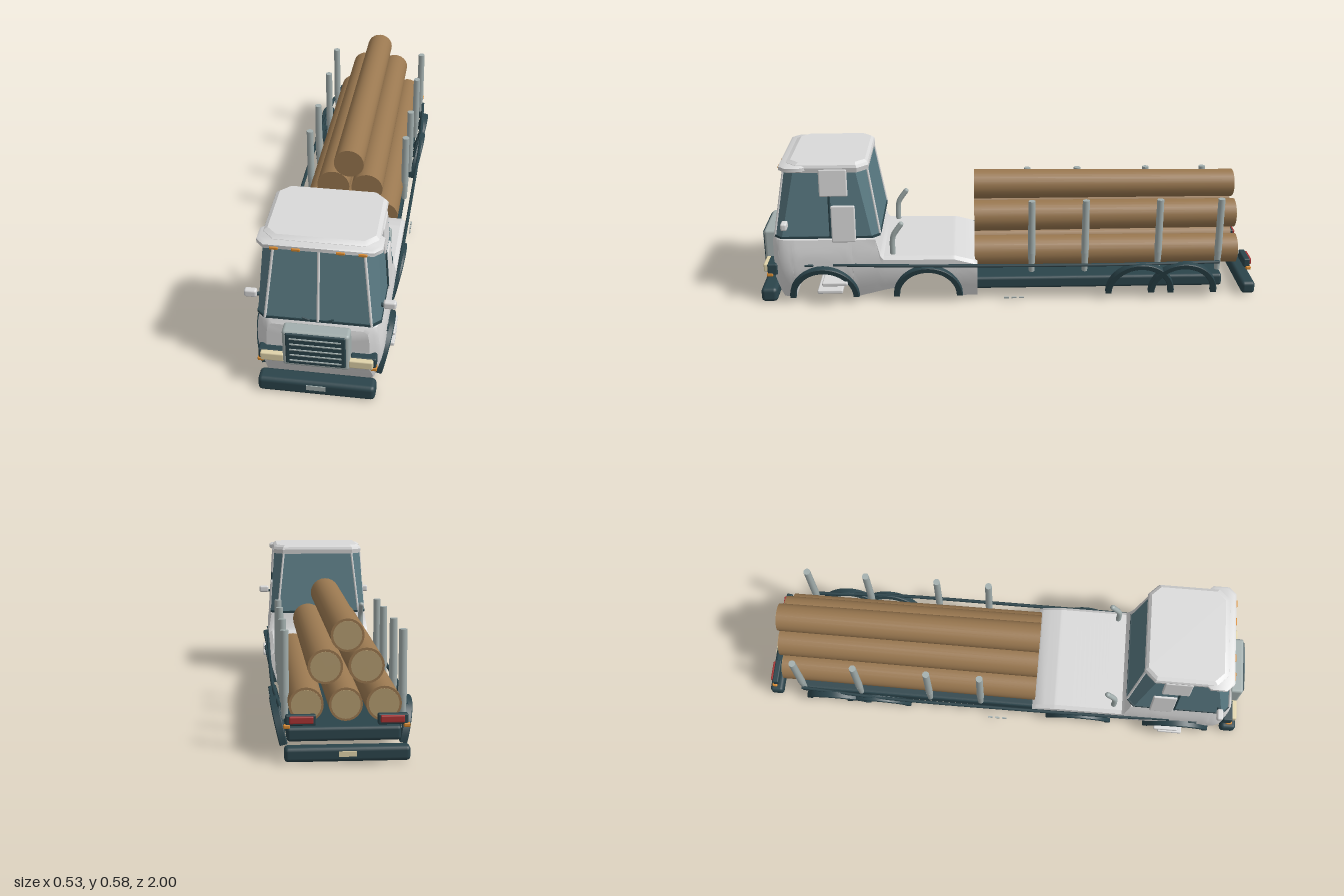
import * as THREE from 'three';
import { toCreasedNormals } from 'three/addons/utils/BufferGeometryUtils.js';
import { RoundedBoxGeometry } from 'three/addons/geometries/RoundedBoxGeometry.js';

const paint = (name, color) => {
  const m = new THREE.MeshStandardMaterial({ color });
  m.name = name;
  return m;
};
const V = (x, y, z) => new THREE.Vector3(x, y, z);

// Joins a list of rings into a capped skin with sharp edges kept
function loft(rings, crease = 0.6) {
  const n = rings[0].length, pos = [], idx = [];
  rings.forEach(r => r.forEach(p => pos.push(...p)));
  for (let k = 0; k < rings.length - 1; k++)
    for (let i = 0; i < n; i++) {
      const a = k * n + i, b = k * n + (i + 1) % n;
      idx.push(a, b, b + n, a, b + n, a + n);
    }
  [0, rings.length - 1].forEach((k, end) => {
    const c = pos.length / 3;
    const sum = rings[k].reduce((s, p) => s.map((v, j) => v + p[j] / n), [0, 0, 0]);
    pos.push(...sum);
    for (let i = 0; i < n; i++) {
      const a = k * n + i, b = k * n + (i + 1) % n;
      if (end) idx.push(c, a, b); else idx.push(c, b, a);
    }
  });
  const g = new THREE.BufferGeometry();
  g.setAttribute('position', new THREE.Float32BufferAttribute(pos, 3));
  g.setIndex(idx);
  return toCreasedNormals(g, crease);
}

// Chamfered rectangle lying flat at height y
const plan = (y, w, zf, zb, c) => [
  [w - c, y, zf], [w, y, zf - c], [w, y, zb + c], [w - c, y, zb],
  [c - w, y, zb], [-w, y, zb + c], [-w, y, zf - c], [c - w, y, zf]];

// Piecewise linear lookup
function lerpTable(table, t) {
  if (t <= table[0][0]) return table[0][1];
  for (let i = 1; i < table.length; i++) {
    const [a, va] = table[i - 1], [b, vb] = table[i];
    if (t <= b) return va + (vb - va) * (t - a) / (b - a);
  }
  return table[table.length - 1][1];
}

// Cab base and deck: cross-sections along z with the wheel wells cut away
function bodyGeometry() {
  const wells = [0.33, 0.74], R = 0.118, Y = 0.02;
  const halfWidth = [[0.01, 0.192], [0.1, 0.22], [0.14, 0.226], [0.21, 0.226], [0.285, 0.212]];
  const taper = [[0.85, 1], [0.89, 0.985], [0.915, 0.94], [0.938, 0.8]];
  const top = [[0.13, 0.165], [0.145, 0.178], [0.22, 0.198], [0.5, 0.2], [0.512, 0.215], [0.53, 0.283], [0.925, 0.284], [0.938, 0.265]];
  const base = [[0.21, 0.015], [0.45, 0.06], [0.46, 0.06], [0.6, 0.02], [0.905, 0.02], [0.938, 0.1]];
  const bottom = z => {
    const well = wells.find(c => Math.abs(z - c) < R - 1e-6);
    return well === undefined ? lerpTable(base, z) : Math.max(lerpTable(base, z), Y + Math.sqrt(R * R - (z - well) ** 2));
  };
  const zs = [0.13, 0.145, 0.18, 0.5, 0.512, 0.53, 0.6, 0.87, 0.89, 0.905, 0.915, 0.925, 0.932, 0.938];
  wells.forEach(c => { for (let i = 0; i <= 20; i++) zs.push(c - R * Math.cos(i / 20 * Math.PI)); });
  zs.sort((a, b) => a - b);
  return loft(zs.map(z => {
    const b = bottom(z), t = top && lerpTable(top, z), s = lerpTable(taper, z);
    const side = [];
    for (let i = 0; i <= 6; i++) {
      const y = b + (t - 0.012 - b) * i / 6;
      side.push([lerpTable(halfWidth, y) * s, y, z]);
    }
    side.push([lerpTable(halfWidth, t) * s - 0.014, t, z]);
    return [...side, ...side.slice().reverse().map(([x, y]) => [-x, y, z])];
  }));
}

export function createModel() {
  const white = paint('white paint', 0xd9d9d9), dark = paint('dark trim', 0x2b444b);
  const glass = paint('window glass', 0x5a7b84), metal = paint('grey metal', 0xa3afae);
  const bark = paint('log bark', 0x9a7850), wood = paint('cut wood', 0xb39b70);
  const amber = paint('amber lamp', 0xd98a2e), cream = paint('cream lamp', 0xe0d3aa);
  const red = paint('red lamp', 0xa83232);
  const model = new THREE.Group();

  const add = (name, geo, mat, x = 0, y = 0, z = 0) => {
    const m = new THREE.Mesh(geo, mat);
    m.name = name;
    m.position.set(x, y, z);
    model.add(m);
    return m;
  };
  const box = (name, mat, w, h, d, x, y, z, r = 0) =>
    add(name, r ? new RoundedBoxGeometry(w, h, d, 2, r) : new THREE.BoxGeometry(w, h, d), mat, x, y, z);
  const rod = (name, mat, a, b, r, r2 = r, seg = 10) => {
    const m = add(name, new THREE.CylinderGeometry(r2, r, a.distanceTo(b), seg), mat);
    m.position.copy(a).add(b).multiplyScalar(0.5);
    m.quaternion.setFromUnitVectors(V(0, 1, 0), b.clone().sub(a).normalize());
    return m;
  };

  // Body, windows and roof
  add('body', bodyGeometry(), white);
  const low = plan(0.28, 0.215, 0.925, 0.512, 0.03), high = plan(0.552, 0.197, 0.878, 0.555, 0.042);
  add('windows', loft([low, high], 0.1), glass);
  [0, 3, 4, 7].forEach(i => rod('windowPillar', white, V(...low[i]), V(...high[i]), 0.005));
  rod('centrePillar', white, V(0, 0.282, 0.925), V(0, 0.552, 0.878), 0.005);
  add('windowSeal', loft([plan(0.279, 0.217, 0.928, 0.509, 0.03), plan(0.288, 0.217, 0.927, 0.509, 0.03)]), dark);
  add('roof', loft([plan(0.546, 0.199, 0.872, 0.55, 0.042), plan(0.565, 0.202, 0.872, 0.548, 0.042),
    plan(0.576, 0.198, 0.868, 0.552, 0.042), plan(0.585, 0.185, 0.85, 0.562, 0.035)], 0.4), white);
  add('visor', loft([plan(0.549, 0.205, 0.882, 0.785, 0.025), plan(0.555, 0.214, 0.893, 0.775, 0.028),
    plan(0.569, 0.214, 0.893, 0.775, 0.028), plan(0.575, 0.205, 0.884, 0.785, 0.025)], 0.9), white);
  [-0.15, -0.075, 0.075, 0.15].forEach(x => box('roofLamp', amber, 0.03, 0.011, 0.012, x, 0.558, 0.892, 0.003));

  // Grille, front bumper and plate
  box('grilleFrame', metal, 0.235, 0.155, 0.055, 0, 0.198, 0.957, 0.012);
  box('grillePanel', dark, 0.21, 0.135, 0.03, 0, 0.202, 0.974, 0.006);
  for (let i = 0; i < 5; i++) box('grilleBar', metal, 0.18, 0.004, 0.006, 0, 0.154 + i * 0.024, 0.99);
  box('frontBumper', dark, 0.415, 0.058, 0.065, 0, 0.03, 0.965, 0.016);
  box('frontPlate', metal, 0.068, 0.02, 0.006, 0, 0.037, 0.997);
  // Rear bumper and plate
  box('rearBumper', dark, 0.415, 0.05, 0.055, 0, 0.033, -0.969, 0.014);
  box('rearPlate', cream, 0.06, 0.018, 0.005, 0, 0.036, -0.997);
  // Flat load bed and cross steps
  box('loadBed', dark, 0.39, 0.05, 1.02, 0, 0.066, -0.35, 0.012);
  [0.062, 0.094].forEach((y, i) => box('step', white, 0.5, 0.016, 0.1, 0, y, 0.715 - i * 0.02, 0.005));

  // Arched mudguard
  const arch = new THREE.Shape();
  arch.absarc(0, 0, 0.135, 0, Math.PI, false);
  arch.absarc(0, 0, 0.117, Math.PI, 0, true);
  const archGeo = new THREE.ExtrudeGeometry(arch, {
    depth: 0.022, curveSegments: 20, bevelThickness: 0.003, bevelSize: 0.003, bevelSegments: 1 });
  archGeo.translate(0, 0, -0.011).rotateY(Math.PI / 2);
  const guardGeo = toCreasedNormals(archGeo, 0.5);

  for (const s of [-1, 1]) {
    // Headlamps and indicators
    box('headlampHousing', dark, 0.09, 0.046, 0.04, s * 0.162, 0.143, 0.944, 0.006);
    box('headlamp', cream, 0.085, 0.034, 0.03, s * 0.155, 0.147, 0.965, 0.006);
    box('frontIndicator', amber, 0.022, 0.014, 0.025, s * 0.199, 0.121, 0.955, 0.004);
    box('lampTrim', dark, 0.08, 0.007, 0.02, s * 0.155, 0.123, 0.95);
    // Tail lamps
    box('tailLampHousing', dark, 0.1, 0.036, 0.025, s * 0.152, 0.142, -0.955, 0.005);
    box('tailLamp', red, 0.08, 0.024, 0.016, s * 0.15, 0.144, -0.968, 0.004);
    box('rearIndicator', amber, 0.022, 0.014, 0.02, s * 0.198, 0.122, -0.962, 0.004);
    // Mirror
    rod('mirrorArm', dark, V(s * 0.19, 0.338, 0.87), V(s * 0.225, 0.338, 0.875), 0.007);
    box('mirror', white, 0.045, 0.03, 0.025, s * 0.242, 0.345, 0.877, 0.008);
    // Door post panels, seal and handle
    box('lowerDoorPost', white, 0.014, 0.15, 0.095, s * 0.212, 0.338, 0.652, 0.006).rotation.z = s * 0.068;
    box('upperDoorPost', white, 0.014, 0.11, 0.11, s * 0.201, 0.505, 0.685, 0.006).rotation.z = s * 0.068;
    rod('doorSeal', dark, V(s * 0.216, 0.284, 0.703), V(s * 0.199, 0.545, 0.703), 0.005);
    box('doorHandle', dark, 0.01, 0.008, 0.035, s * 0.227, 0.168, 0.795, 0.003);
    // Wiper
    rod('wiper', dark, V(s * 0.028, 0.288, 0.93), V(s * 0.055, 0.297, 0.928), 0.003);
    // Exhaust pipe, bent backwards at the top
    const pipe = new THREE.CatmullRomCurve3([V(s * 0.19, 0.19, 0.465), V(s * 0.19, 0.255, 0.465),
      V(s * 0.19, 0.28, 0.46), V(s * 0.19, 0.325, 0.43)]);
    add('exhaustPipe', new THREE.TubeGeometry(pipe, 12, 0.011, 10), metal);
    add('exhaustCap', new THREE.SphereGeometry(0.011, 10, 6), metal, s * 0.19, 0.325, 0.43);
    // Mudguards
    [0.742, 0.328, -0.525, -0.698].forEach(z => {
      add('mudguard', guardGeo, dark, s * 0.205, 0.028, z).rotation.z = -s * 0.23;
    });
    // Side rail
    const rail = new THREE.CatmullRomCurve3([V(s * 0.222, 0.168, 0.7), V(s * 0.23, 0.165, 0.5),
      V(s * 0.234, 0.16, 0), V(s * 0.232, 0.158, -0.5), V(s * 0.215, 0.156, -0.84)]);
    add('sideRail', new THREE.TubeGeometry(rail, 24, 0.007, 6), dark);
    // Load stakes
    [-0.087, -0.3, -0.593, -0.835].forEach(z => {
      rod('stakeFoot', metal, V(s * 0.2, 0.12, z), V(s * 0.2, 0.2, z), 0.011, 0.015);
      rod('stake', metal, V(s * 0.2, 0.2, z), V(s * 0.2, 0.42, z), 0.015, 0.014, 12);
    });
    // Small reflectors
    [0.015, -0.015, -0.045].forEach(z => box('reflector', metal, 0.006, 0.005, 0.02, s * 0.236, 0.021, z));
  }

  // Stacked logs, slightly thinner towards the rear
  [[-0.127, 0.184, 0.064], [0, 0.183, 0.061], [0.132, 0.183, 0.063],
    [-0.068, 0.312, 0.065], [0.068, 0.31, 0.063], [-0.005, 0.42, 0.06]].forEach(([x, y, r], i) => {
    const z0 = 0.14, z1 = -0.918, drop = i === 5 ? 0.006 : 0;
    rod('log', bark, V(x, y, z0), V(x, y - drop, z1), r, r * 0.93, 24);
    add('logEnd', new THREE.CylinderGeometry(r * 0.8, r * 0.8, 0.004, 24).rotateX(Math.PI / 2), wood, x, y - drop, z1 - 0.001);
  });

  return model;
}
